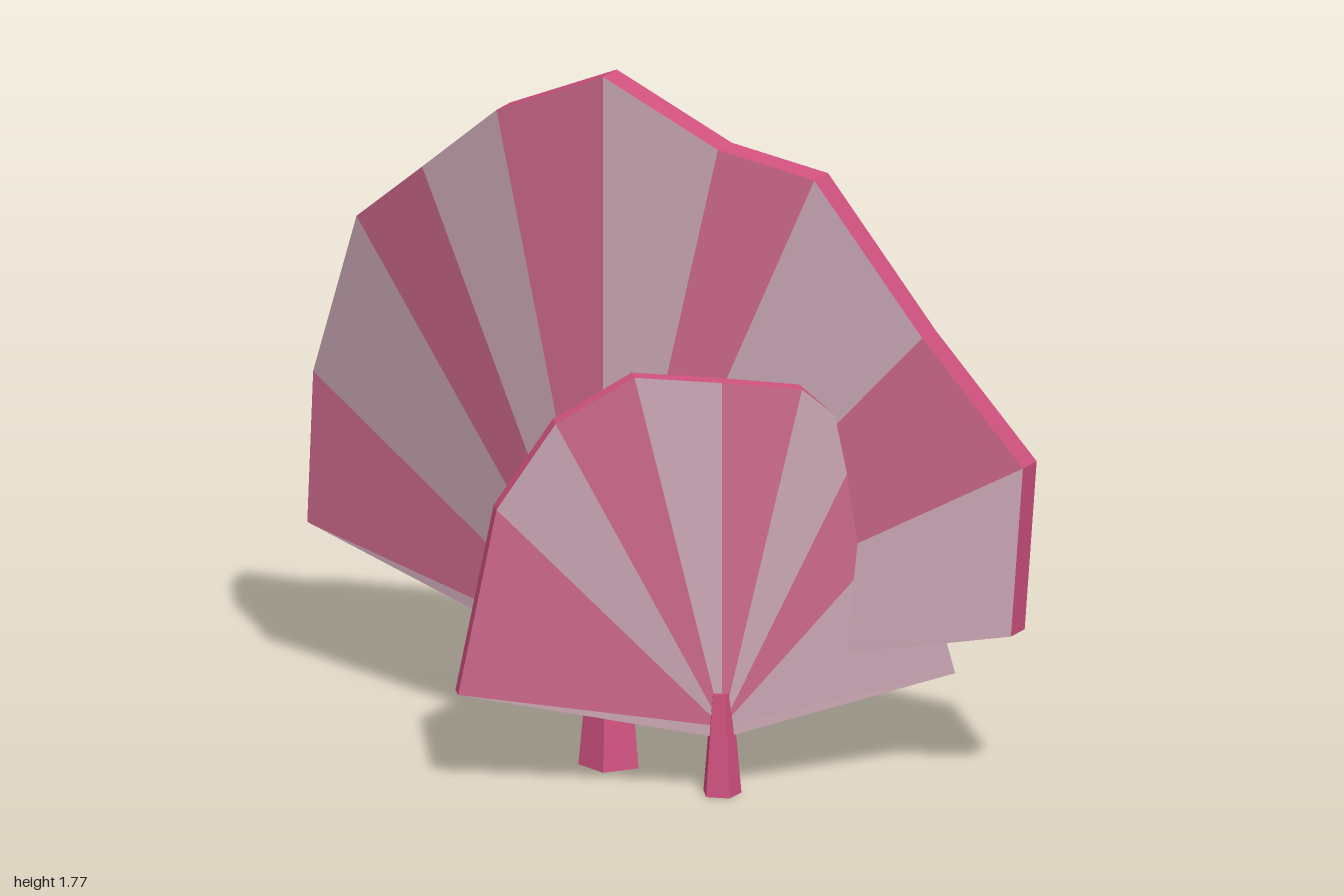
import * as THREE from 'three';

const pink = new THREE.MeshStandardMaterial({ color: 0xcf6a8c });
pink.name = 'pink';
const pale = new THREE.MeshStandardMaterial({ color: 0xcba8b5 });
pale.name = 'pale mauve';
const rose = new THREE.MeshStandardMaterial({ color: 0xd1527f });
rose.name = 'rose';

function addMesh(group, name, triangles, material) {
  const geometry = new THREE.BufferGeometry().setFromPoints(triangles);
  geometry.computeVertexNormals();
  const mesh = new THREE.Mesh(geometry, material);
  mesh.name = name;
  group.add(mesh);
}

// A bowed, pleated fan on a tapered five-sided stem.
// rim runs from the fan's right end over the top to its left end.
function makeFan(name, { rim, hub, base, front, bow, thickness, stem }) {
  const group = new THREE.Group();
  group.name = name;

  const place = ([x, y], depth) => new THREE.Vector3(x, y, front - bow * x * x - depth);
  const outline = [...rim, [0, base]];
  const hubFront = place([0, hub], 0);
  const hubBack = place([0, hub], thickness);
  const pinkFaces = [], paleFaces = [], edgeFaces = [];

  outline.forEach((point, i) => {
    const next = outline[(i + 1) % outline.length];
    const a = place(point, 0), b = place(next, 0);
    const c = place(point, thickness), d = place(next, thickness);
    // alternating pleats; the slivers beside the stem are pale
    const faces = i % 2 === 0 && i < rim.length - 1 ? pinkFaces : paleFaces;
    faces.push(hubFront, b, a, hubBack, c, d);
    edgeFaces.push(a, b, d, a, d, c);
  });
  addMesh(group, 'pinkPleats', pinkFaces, pink);
  addMesh(group, 'palePleats', paleFaces, pale);
  addMesh(group, 'fanEdge', edgeFaces, rose);

  // stem
  const { top, bottom, height } = stem;
  const stemGeometry = new THREE.CylinderGeometry(top, bottom, height, 5).toNonIndexed();
  stemGeometry.computeVertexNormals();
  const stalk = new THREE.Mesh(stemGeometry, rose);
  stalk.name = 'stem';
  stalk.position.y = height / 2;
  stalk.rotation.y = THREE.MathUtils.degToRad(15);
  group.add(stalk);
  return group;
}

export function createModel() {
  const model = new THREE.Group();
  model.name = 'fanCluster';

  const large = makeFan('largeFan', {
    rim: [
      [-1, 0.395], [-0.975, 0.79], [-0.8, 1.24], [-0.56, 1.43], [-0.315, 1.63], [0, 1.77],
      [0.305, 1.62], [0.54, 1.56], [0.785, 1.165], [1, 0.83], [0.975, 0.4],
    ],
    hub: 0.28, base: 0.23, front: 0.04, bow: 0.315, thickness: 0.07,
    stem: { top: 0.045, bottom: 0.08, height: 0.37 },
  });

  const small = makeFan('smallFan', {
    rim: [
      [-0.635, 0.25], [-0.545, 0.73], [-0.405, 0.955], [-0.215, 1.075], [0, 1.055],
      [0.2, 1.025], [0.36, 0.885], [0.48, 0.67], [0.595, 0.25],
    ],
    hub: 0.175, base: 0.145, front: 0.015, bow: 0.3, thickness: 0.043,
    stem: { top: 0.027, bottom: 0.05, height: 0.26 },
  });
  small.position.set(0.355, 0, 0.085);
  small.rotation.y = THREE.MathUtils.degToRad(38);

  model.add(large, small);
  return model;
}
